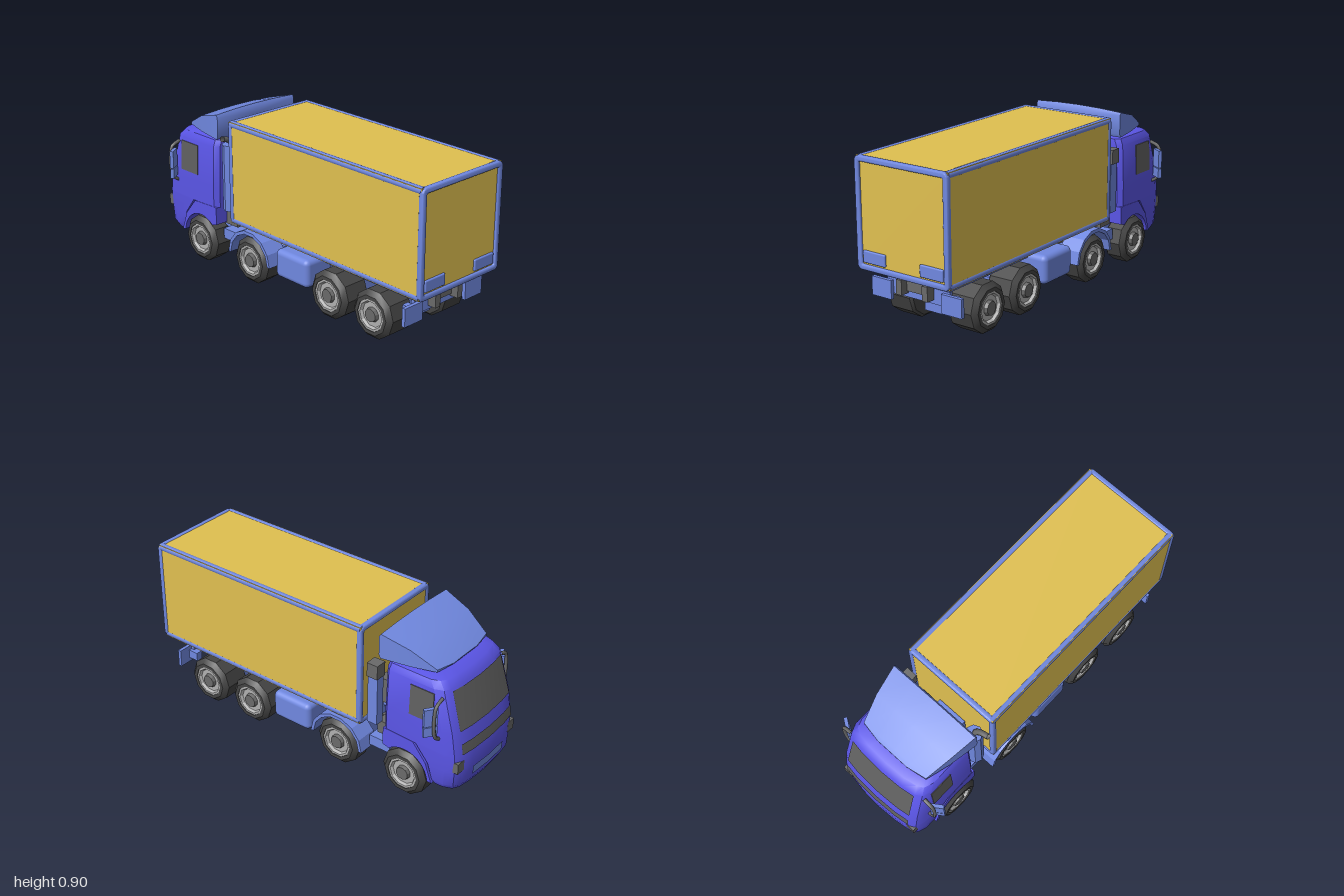
import * as THREE from 'three';
import { toCreasedNormals } from 'three/addons/utils/BufferGeometryUtils.js';
import { RoundedBoxGeometry } from 'three/addons/geometries/RoundedBoxGeometry.js';

const mat = (color, side = THREE.FrontSide) => new THREE.MeshStandardMaterial({ color, side });
const CAB = mat(0x5a55e6), BLUE = mat(0x7088e0), YELLOW = mat(0xe0c050), GREY = mat(0x6a6a6a);
const GLASS = mat(0x606060, THREE.DoubleSide), TYRE = mat(0x454545), RIM = mat(0xb0b0b0);
const SIDES = [1, -1];

// Cab levels: height, front x, rear x, half width
const LEVELS = [
  [0.13, -0.975, -0.82, 0.25], [0.16, -0.99, -0.81, 0.265], [0.25, -0.995, -0.785, 0.27],
  [0.345, -0.995, -0.71, 0.275], [0.35, -0.994, -0.53, 0.275], [0.47, -0.975, -0.53, 0.275],
  [0.70, -0.908, -0.53, 0.265], [0.735, -0.875, -0.535, 0.248], [0.75, -0.82, -0.56, 0.205]];
// Plan curve of the nose: share of half width, setback
const NOSE = [[0, 0], [0.5, 0.006], [0.8, 0.018], [0.93, 0.038], [1, 0.085]];

function surface(rows, closed) {
  const n = rows[0].length, pos = rows.flat(2), idx = [];
  for (let r = 0; r < rows.length - 1; r++) {
    for (let i = 0; i < (closed ? n : n - 1); i++) {
      const a = r * n + i, b = r * n + (i + 1) % n;
      idx.push(a, b, b + n, a, b + n, a + n);
    }
  }
  if (closed) [0, rows.length - 1].forEach((r, end) => {
    const c = pos.length / 3;
    for (let k = 0; k < 3; k++) pos.push(rows[r].reduce((t, p) => t + p[k], 0) / n);
    for (let i = 0; i < n; i++) {
      const a = r * n + i, b = r * n + (i + 1) % n;
      idx.push(c, end ? a : b, end ? b : a);
    }
  });
  const g = new THREE.BufferGeometry();
  g.setAttribute('position', new THREE.Float32BufferAttribute(pos, 3));
  g.setIndex(idx);
  return toCreasedNormals(g, 0.6);
}

function cabLevel(y) {
  let i = 0;
  while (i < LEVELS.length - 2 && LEVELS[i + 1][0] < y) i++;
  const a = LEVELS[i], b = LEVELS[i + 1], t = (y - a[0]) / (b[0] - a[0]);
  return a.map((v, k) => v + (b[k] - v) * t);
}

// Panel that follows the curved cab front
function frontPanel(ys, reach) {
  const half = NOSE.slice(0, reach);
  const cols = [...half.slice(1).reverse().map(([f, d]) => [-f, d]), ...half];
  return surface(ys.map(y => {
    const [, xf, , w] = cabLevel(y);
    return cols.map(([f, d]) => [xf + d - 0.005, y, f * w]);
  }), false);
}

function roundedRect(w, h, r, T) {
  const s = new T(), x = w / 2 - r, y = h / 2 - r;
  s.absarc(x, y, r, 0, Math.PI / 2);
  s.absarc(-x, y, r, Math.PI / 2, Math.PI);
  s.absarc(-x, -y, r, Math.PI, Math.PI * 1.5);
  s.absarc(x, -y, r, Math.PI * 1.5, Math.PI * 2);
  s.closePath();
  return s;
}

export function createModel() {
  const truck = new THREE.Group();
  truck.name = 'boxTruck';
  const add = (name, geo, material, x = 0, y = 0, z = 0) => {
    const m = new THREE.Mesh(geo, material);
    m.name = name;
    m.position.set(x, y, z);
    truck.add(m);
    return m;
  };
  const box = (name, material, x0, x1, y0, y1, z0, z1) => add(name,
    new THREE.BoxGeometry(x1 - x0, y1 - y0, Math.abs(z1 - z0)), material,
    (x0 + x1) / 2, (y0 + y1) / 2, (z0 + z1) / 2);
  const pair = (name, material, x0, x1, y0, y1, z0, z1) =>
    SIDES.forEach(s => box(name, material, x0, x1, y0, y1, s * z0, s * z1));

  // Cargo box: panels inside a rounded frame
  box('cargoPanels', YELLOW, -0.395, 0.985, 0.313, 0.887, -0.287, 0.287);
  for (const x of [-0.395, 0.972]) {
    const ring = roundedRect(0.564, 0.564, 0.02, THREE.Shape);
    ring.holes.push(roundedRect(0.536, 0.536, 0.015, THREE.Path));
    const g = new THREE.ExtrudeGeometry(ring, { depth: 0.015, bevelThickness: 0.008, bevelSize: 0.008, bevelSegments: 3, curveSegments: 5 });
    add('cargoEndFrame', toCreasedNormals(g.rotateY(Math.PI / 2), 0.6), BLUE, x + 0.003, 0.6, 0);
  }
  for (const s of SIDES) for (const y of [0.328, 0.872]) {
    add('cargoEdgeRail', new THREE.CylinderGeometry(0.02, 0.02, 1.37, 12).rotateZ(Math.PI / 2), BLUE, 0.295, y, s * 0.271);
  }
  for (const s of SIDES) add('doorPad', new RoundedBoxGeometry(0.016, 0.064, 0.144, 2, 0.007), BLUE, 0.988, 0.381, s * 0.181);

  // Cab shell
  add('cab', surface(LEVELS.map(([y, xf, xr, w]) => {
    const half = [...NOSE.map(([f, d]) => [xf + d, y, f * w]), [xr - 0.025, y, w], [xr, y, w - 0.025]];
    return [...half, ...half.slice(1).reverse().map(p => [p[0], y, -p[2]])];
  }), true), CAB);
  add('windscreen', frontPanel([0.48, 0.58, 0.69], 3), GLASS);
  add('grille', frontPanel([0.35, 0.41], 3), GLASS);
  add('bumperPlate', frontPanel([0.19, 0.24], 2), mat(0x7088e0, THREE.DoubleSide));
  for (const s of SIDES) {
    box('headlamp', GREY, -0.98, -0.95, 0.25, 0.31, s * 0.2, s * 0.255);
    const w = box('sideWindow', GLASS, -0.83, -0.69, 0.505, 0.675, s * 0.264, s * 0.274);
    w.rotation.x = -s * 0.043;
  }

  // Front wheel arches
  const arch = new THREE.Shape();
  [[-0.84, 0.14], [-0.8, 0.25], [-0.72, 0.345], [-0.57, 0.352], [-0.535, 0.35], [-0.535, 0.25]]
    .forEach(([x, y], i) => (i ? arch.lineTo(x, y) : arch.moveTo(x, y)));
  arch.absarc(-0.67, 0.13, 0.145, 0.85, Math.PI - 0.1, false);
  arch.closePath();
  for (const s of SIDES) add('frontWheelArch', new THREE.ExtrudeGeometry(arch, { depth: 0.11, bevelEnabled: false, curveSegments: 8 }),
    CAB, 0, 0, s > 0 ? 0.167 : -0.277);

  // Roof fairing, widening and rising to the rear
  const fairing = [[-0.825, 0.1, 0.764, 0.77], [-0.805, 0.215, 0.762, 0.785], [-0.67, 0.25, 0.758, 0.86],
    [-0.51, 0.278, 0.756, 0.905], [-0.5, 0.278, 0.775, 0.89]];
  add('roofFairing', surface(fairing.map(([x, w, y0, y1]) => {
    const e = Math.min(0.01, (y1 - y0) * 0.4);
    return [[x, y0, -w], [x, y1 - e, -w], [x, y1 - e / 4, -w / 2], [x, y1, 0], [x, y1 - e / 4, w / 2], [x, y1 - e, w], [x, y0, w]];
  }), true), BLUE);
  box('fairingMount', GREY, -0.75, -0.56, 0.74, 0.765, -0.15, 0.15);

  // Mirrors on curved arms
  for (const s of SIDES) {
    const arm = new THREE.CatmullRomCurve3([[0.43, 0.265], [0.45, 0.3], [0.49, 0.317], [0.61, 0.317], [0.64, 0.305], [0.66, 0.255]]
      .map(([y, z]) => new THREE.Vector3(-0.87, y, s * z)));
    add('mirrorArm', new THREE.TubeGeometry(arm, 16, 0.01, 6), GREY);
    for (const [y0, y1] of [[0.525, 0.625], [0.466, 0.52]]) {
      const m = box('mirror', BLUE, -0.856, -0.836, y0, y1, s * 0.283, s * 0.355);
      m.rotation.y = s * 0.6;
    }
  }

  // Exhaust on one side, air intake on the other
  add('exhaustSilencer', toCreasedNormals(new THREE.CylinderGeometry(0.047, 0.047, 0.38, 8), 0.5), BLUE, -0.465, 0.54, 0.22);
  const pipe = new THREE.CatmullRomCurve3([[0.7, 0.22], [0.74, 0.225], [0.765, 0.25], [0.782, 0.298]]
    .map(([y, z], i) => new THREE.Vector3(-0.46 + i * 0.007, y, z)));
  add('exhaustTip', new THREE.TubeGeometry(pipe, 10, 0.016, 8), mat(0x6a6a6a, THREE.DoubleSide));
  add('exhaustInlet', new THREE.CylinderGeometry(0.018, 0.018, 0.12, 8), GREY, -0.52, 0.4, 0.15);
  box('intakeColumn', BLUE, -0.49, -0.43, 0.34, 0.62, -0.27, -0.22);
  box('intakeHead', GREY, -0.495, -0.43, 0.62, 0.7, -0.28, -0.215);
  box('intakeFilter', GREY, -0.495, -0.43, 0.42, 0.56, -0.175, -0.115);
  box('rearCabSupport', BLUE, -0.45, -0.4, 0.33, 0.5, -0.09, 0.09);
  box('cabRearPanel', CAB, -0.54, -0.5, 0.33, 0.55, -0.08, 0.08);

  // Chassis
  pair('chassisRail', GREY, -0.85, 0.93, 0.197, 0.275, 0.065, 0.1);
  box('frontCrossBeam', GREY, -0.575, -0.445, 0.24, 0.315, -0.2, 0.2);
  box('underbodyPan', CAB, -0.83, -0.55, 0.26, 0.345, -0.17, 0.17);
  for (const x of [-0.4, -0.05, 0.2, 0.52, 0.85]) box('crossMember', GREY, x, x + 0.04, 0.21, 0.265, -0.07, 0.07);
  box('cargoSubframe', BLUE, 0.3, 0.93, 0.28, 0.315, -0.24, 0.24);
  pair('cargoBearer', BLUE, -0.4, 0.3, 0.27, 0.315, 0.06, 0.105);
  pair('sideStep', BLUE, -0.54, -0.41, 0.155, 0.215, 0.13, 0.22);

  // Fuel tanks
  for (const s of SIDES) add('fuelTank', new RoundedBoxGeometry(0.25, 0.16, 0.19, 3, 0.03), BLUE, 0.075, 0.182, s * 0.185);
  box('tankBridge', BLUE, -0.03, 0.18, 0.14, 0.22, -0.1, 0.1);

  // Rear bumper and flaps
  box('rearBeam', BLUE, 0.86, 0.88, 0.175, 0.255, -0.2, 0.2);
  pair('rearFlap', BLUE, 0.88, 0.9, 0.145, 0.245, 0.16, 0.287);
  pair('rearFlapBracket', BLUE, 0.82, 0.88, 0.17, 0.22, 0.18, 0.22);

  // Second axle mudguards: a faceted band over the wheel
  const guard = new THREE.Shape();
  for (let i = 0; i <= 7; i++) {
    const a = Math.PI * i / 7;
    const p = [-0.245 + 0.168 * Math.cos(a), 0.14 + 0.163 * Math.sin(a)];
    i ? guard.lineTo(...p) : guard.moveTo(...p);
  }
  for (let i = 7; i >= 0; i--) guard.lineTo(-0.245 + 0.15 * Math.cos(Math.PI * i / 7), 0.14 + 0.143 * Math.sin(Math.PI * i / 7));
  guard.closePath();
  for (const s of SIDES) add('mudguard', new THREE.ExtrudeGeometry(guard, { depth: 0.125, bevelEnabled: false }), BLUE, 0, 0, s > 0 ? 0.17 : -0.295);

  // Wheels and axles: ten sided, wider at the rear
  for (const [x, width] of [[-0.67, 0.125], [-0.245, 0.125], [0.36, 0.175], [0.67, 0.175]]) {
    const h = width / 2;
    const spin = pts => new THREE.LatheGeometry(pts.map(p => new THREE.Vector2(...p)), 10, Math.PI / 10);
    for (const s of SIDES) {
      const put = (name, g, m) => add(name, toCreasedNormals(g.rotateX(s * Math.PI / 2), 0.5), m, x, 0.13, s * (0.29 - h));
      put('tyre', spin([[0, -h], [0.12, -h], [0.134, -h + 0.012], [0.134, h - 0.025], [0.108, h], [0.088, h], [0.084, h - 0.02]]), TYRE);
      put('rim', spin([[0.088, h - 0.003], [0.076, h - 0.003], [0.068, h - 0.018], [0, h - 0.018]]), RIM);
      put('hub', new THREE.CylinderGeometry(0.036, 0.042, 0.022, 10).translate(0, h - 0.01, 0), GREY);
    }
    add('axle', new THREE.CylinderGeometry(0.025, 0.025, 0.4, 8).rotateX(Math.PI / 2), GREY, x, 0.13, 0);
    box('axleHousing', BLUE, x - 0.06, x + 0.06, 0.055, 0.175, -0.088, 0.088);
  }
  return truck;
}
